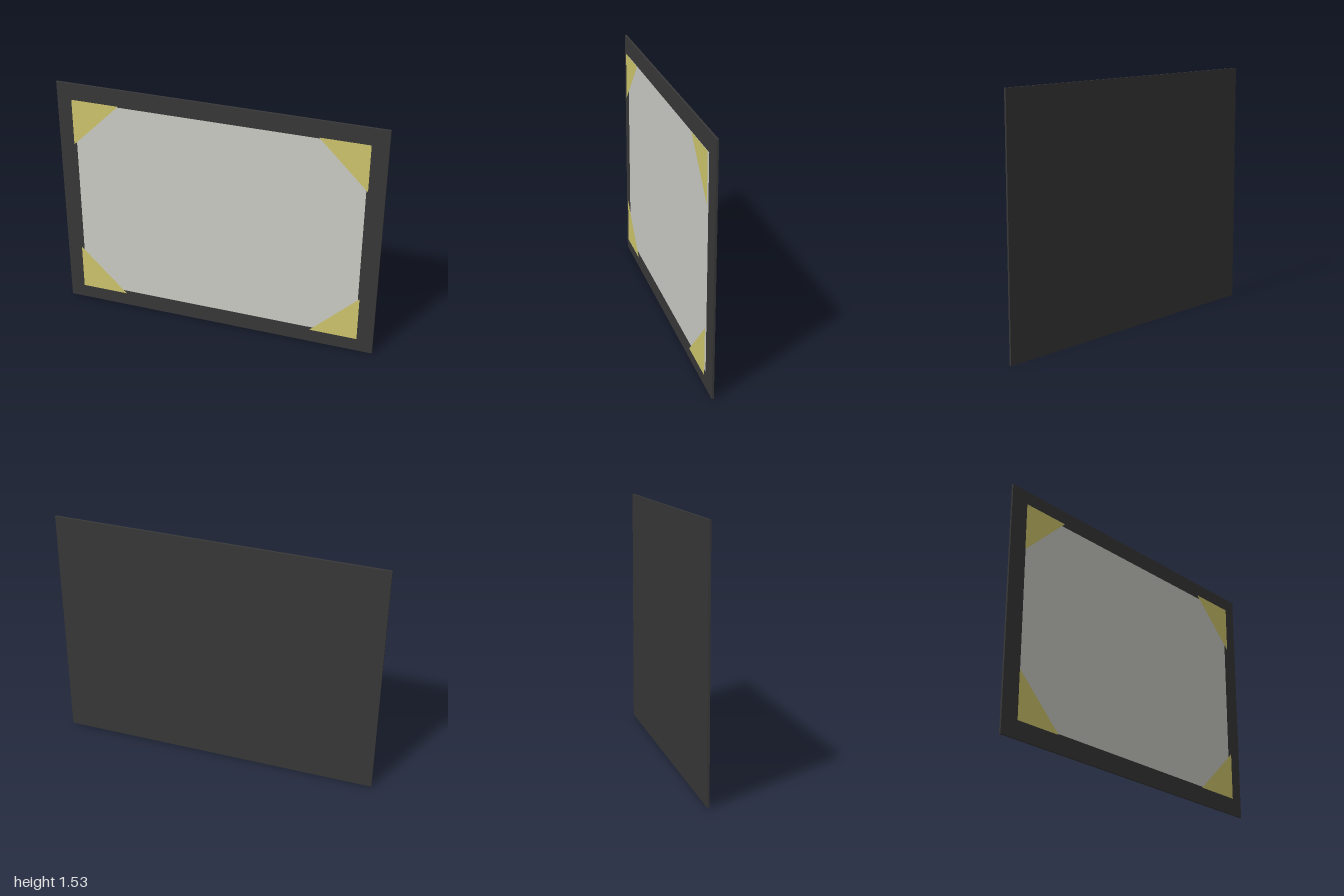
import * as THREE from 'three';

const W = 2, H = 1.526;

function mat(color, thin = false) {
  return new THREE.MeshStandardMaterial({ color, side: thin ? THREE.DoubleSide : THREE.FrontSide });
}

export function createModel() {
  const group = new THREE.Group();
  const add = (name, geometry, material, x, y, z) => {
    const mesh = new THREE.Mesh(geometry, material);
    mesh.name = name;
    mesh.position.set(x, y, z);
    group.add(mesh);
    return mesh;
  };

  // Dark backing board
  add('backingBoard', new THREE.BoxGeometry(W, H, 0.012), mat(0x383838), 0, H / 2, -0.008);

  // Thin sheet lying just in front of the board
  add('sheet', new THREE.PlaneGeometry(1.78, 1.306), mat(0xcccdc6, true), 0, H / 2, 0.002);

  // Triangular mounting corners, one shape mirrored into all four corners
  const cornerMaterial = mat(0xcfc66c, true);
  const leg = 0.297, cx = 0.902, cy = 0.665;
  for (const sx of [-1, 1]) {
    for (const sy of [-1, 1]) {
      const points = [[0, 0], [-sx * leg, 0], [0, -sy * leg]].map(([x, y]) => new THREE.Vector2(x, y));
      const name = (sy > 0 ? 'top' : 'bottom') + (sx > 0 ? 'Left' : 'Right') + 'Corner';
      add(name, new THREE.ShapeGeometry(new THREE.Shape(points)), cornerMaterial, sx * cx, H / 2 + sy * cy, 0.014);
    }
  }
  return group;
}
